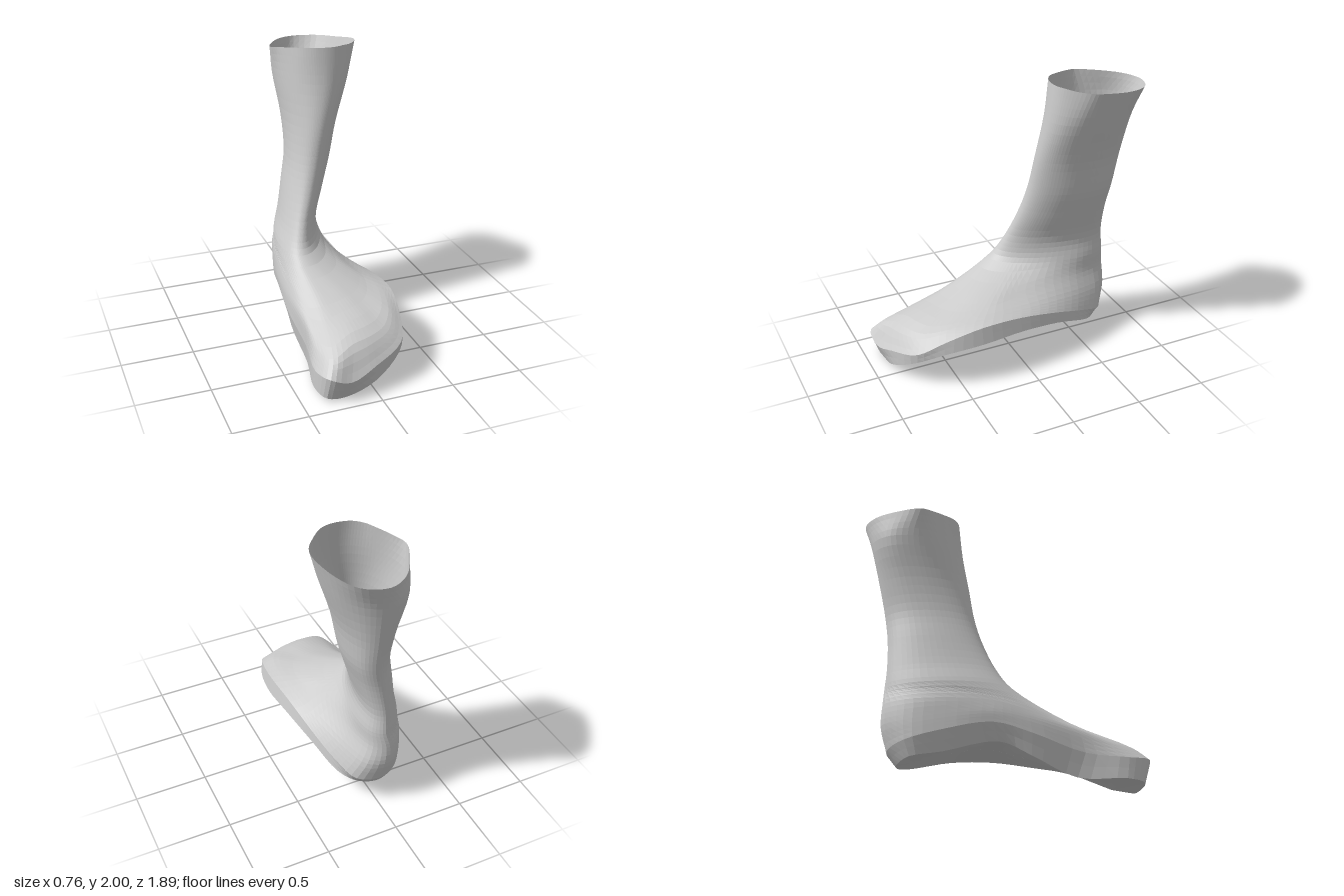
import * as THREE from 'three';

const AROUND = 68; // points round every ring
const V = (x, y, z) => new THREE.Vector3(x, y, z);
const { clamp, degToRad } = THREE.MathUtils;

// Angles of the 17 ring stations: back, round by +x, to the toes and home by -x
const ANGLES = [0, 30, 60, 90, 115, 135, 150, 162, 172, 182, 195, 210, 228, 250, 275, 305, 335];

// Smooth closed ring through its stations
function ring(points) {
  const curve = new THREE.CatmullRomCurve3(points, true);
  return Array.from({ length: AROUND }, (_, i) => curve.getPoint(i / AROUND));
}

// Oval leg ring from its extents; twist moves the back to +x and the front to -x,
// skew brings its +x side forward
function legRing(y, xMin, xMax, zBack, zFront, twist, skew = 0) {
  const halfWidth = Math.sqrt(((xMax - xMin) / 2) ** 2 - twist ** 2);
  return ring(ANGLES.map((deg) => {
    const s = Math.sin(degToRad(deg)), c = Math.cos(degToRad(deg));
    return V((xMin + xMax) / 2 + s * halfWidth + c * twist, y,
      (zBack + zFront) / 2 - c * (zFront - zBack) / 2 + s * skew);
  }));
}

const fromTriples = (list) => ring(list.map((p) => V(...p)));

// Uneven open top of the leg
const cuff = fromTriples([
  [.08, 1.93, -.94], [.24, 1.935, -.88], [.33, 1.95, -.73], [.38, 1.98, -.53], [.36, 1.985, -.44],
  [.29, 1.99, -.35], [.22, 2, -.29], [.16, 2, -.265], [.11, 2, -.26], [.06, 2, -.265], [0, 2, -.285],
  [-.06, 1.995, -.33], [-.11, 1.985, -.4], [-.17, 1.97, -.5], [-.21, 1.955, -.59], [-.15, 1.945, -.74],
  [-.05, 1.935, -.88],
]);

// Ring over the heel and the instep
const instep = fromTriples([
  [-.06, .52, -.77], [.04, .52, -.72], [.09, .52, -.55], [.11, .53, -.3], [.13, .51, 0], [.15, .495, .2],
  [.1, .485, .33], [.03, .475, .4], [-.04, .47, .43], [-.13, .455, .45], [-.22, .44, .44], [-.28, .42, .4],
  [-.32, .43, .3], [-.34, .47, .1], [-.335, .51, -.1], [-.285, .52, -.4], [-.19, .52, -.65],
]);

// Ring over the knuckles and round the heel
const knuckles = fromTriples([
  [-.06, .38, -.77], [.08, .38, -.72], [.15, .39, -.54], [.21, .42, -.28], [.25, .445, .02], [.26, .455, .3],
  [.22, .41, .56], [.13, .365, .7], [0, .35, .77], [-.13, .335, .8], [-.28, .28, .84], [-.335, .28, .7],
  [-.34, .33, .46], [-.355, .4, .13], [-.345, .43, -.1], [-.285, .41, -.4], [-.195, .38, -.65],
]);

// Upper edge of the foot's side band
const upperEdge = fromTriples([
  [-.05, .22, -.725], [.13, .22, -.67], [.21, .28, -.5], [.27, .36, -.25], [.31, .42, .05], [.33, .43, .35],
  [.29, .36, .6], [.22, .27, .78], [0, .2, .89], [-.19, .145, .94], [-.33, .19, .935], [-.38, .18, .78],
  [-.345, .2, .5], [-.36, .3, .15], [-.34, .36, -.1], [-.28, .31, -.4], [-.19, .25, -.64],
]);

// Edge of the twisted sole
const soleEdge = fromTriples([
  [-.05, .13, -.66], [.1, .15, -.63], [.2, .19, -.53], [.28, .28, -.25], [.33, .32, .05], [.35, .31, .35],
  [.3, .27, .62], [.21, .2, .78], [0, .08, .88], [-.2, .005, .88], [-.34, .03, .89], [-.38, .04, .76],
  [-.32, .04, .45], [-.33, .16, .15], [-.29, .25, -.05], [-.22, .18, -.4], [-.17, .15, -.6],
]);

// Centre line of the sole, arched in the middle and low under the ball
const spineCurve = new THREE.CatmullRomCurve3(
  [V(-.02, .16, -.54), V(-.03, .28, -.1), V(-.07, .19, .32), V(-.18, .02, .72)]);
const spine = soleEdge.map((p) => spineCurve.getPoint(clamp((p.z + .55) / 1.3, 0, 1)));

// Smooth rows through a stack of rings
function loft(rings, steps) {
  const count = (rings.length - 1) * steps;
  const rails = rings[0].map((_, i) => new THREE.CatmullRomCurve3(rings.map((r) => r[i])));
  return Array.from({ length: count + 1 }, (_, r) => rails.map((rail) => rail.getPoint(r / count)));
}

// Straight rows between two rings
function bridge(a, b, steps) {
  return Array.from({ length: steps + 1 }, (_, r) => a.map((p, i) => p.clone().lerp(b[i], r / steps)));
}

function skin(name, rows, material) {
  const geometry = new THREE.BufferGeometry();
  geometry.setFromPoints(rows.flat());
  const index = [];
  for (let r = 0; r < rows.length - 1; r++) {
    for (let i = 0; i < AROUND; i++) {
      const j = (i + 1) % AROUND;
      const a = r * AROUND + i, b = r * AROUND + j, c = a + AROUND, d = b + AROUND;
      index.push(a, b, c, b, d, c);
    }
  }
  geometry.setIndex(index);
  geometry.computeVertexNormals();
  const mesh = new THREE.Mesh(geometry, material);
  mesh.name = name;
  return mesh;
}

export function createModel() {
  const group = new THREE.Group();
  group.name = 'foot';
  const material = new THREE.MeshStandardMaterial({
    color: 0xcccccc, flatShading: true, side: THREE.DoubleSide,
  });

  // Open leg, ankle, heel and instep
  const legRings = [
    legRing(1.75, -.18, .31, -.89, -.235, 0, .04),
    legRing(1.45, -.15, .215, -.82, -.195, .02, .02),
    legRing(1.2, -.16, .17, -.77, -.165, .04),
    legRing(1, -.2, .11, -.75, -.12, .05),
    legRing(.78, -.255, .055, -.75, -.04, .07),
    legRing(.64, -.305, .075, -.76, .06, .085),
  ];
  group.add(skin('legAndInstep', loft([cuff, ...legRings, instep, knuckles, upperEdge], 4), material));

  // Side band between the instep and the sole
  group.add(skin('sideBand', bridge(upperEdge, soleEdge, 2), material));

  // Hollowed sole, closing on its centre line
  group.add(skin('sole', bridge(soleEdge, spine, 4), material));
  return group;
}
